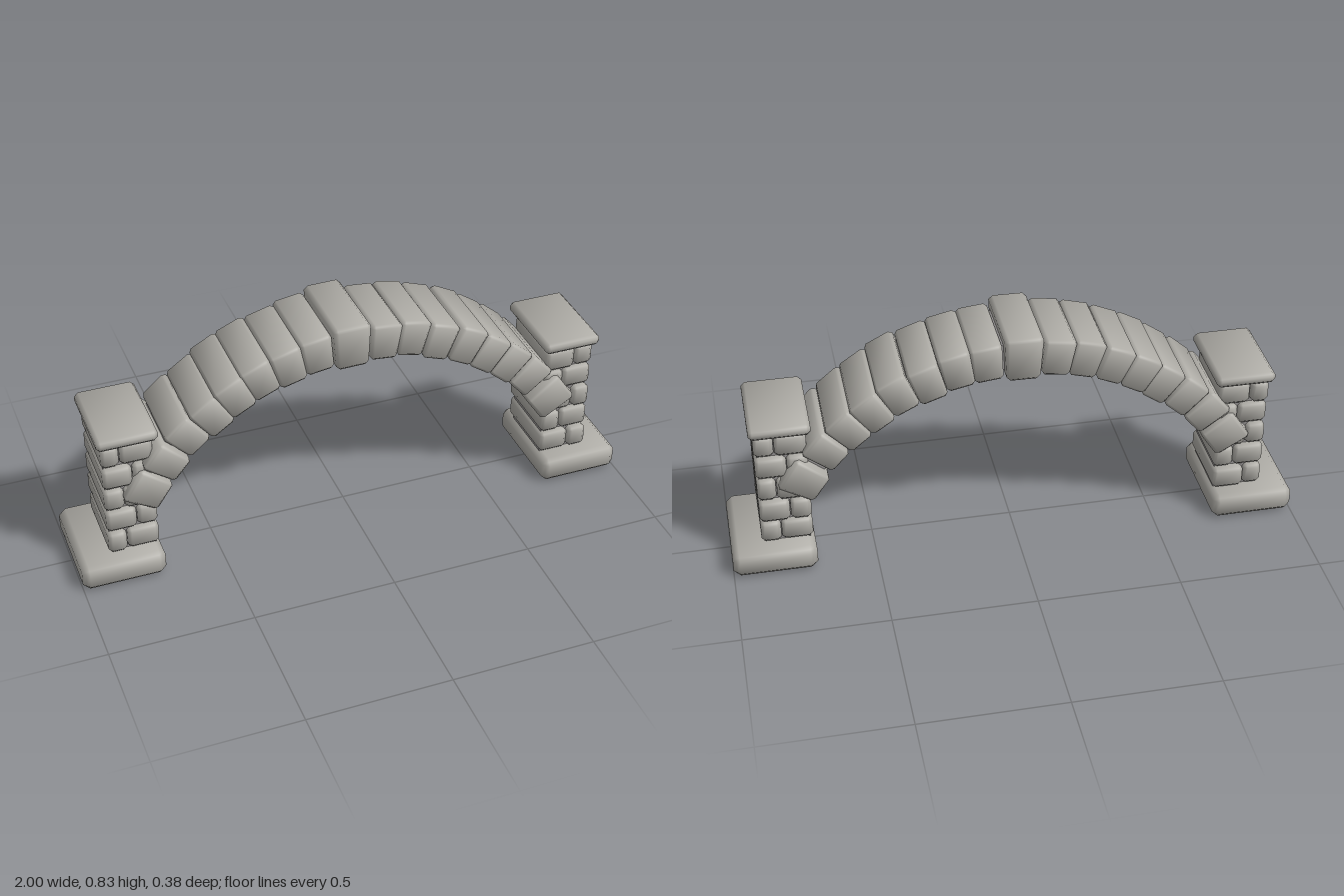
import * as THREE from 'three';

const stone = new THREE.MeshStandardMaterial({ color: 0xaeaca6 });
stone.name = 'warm grey stone';
const mortar = new THREE.MeshStandardMaterial({ color: 0x959292 });
mortar.name = 'grey mortar';

// Small seeded generator: values in -amount..amount
let seed = 7;
const jitter = (amount) => {
  seed = (seed * 16807) % 2147483647;
  return (seed / 2147483647 * 2 - 1) * amount;
};

// Chamfered block with soft normals; taper widens the top in x
function blockGeometry(w, h, d, bevel, taper = 0) {
  const geo = new THREE.BoxGeometry(2, 2, 2, 3, 3, 3);
  const pos = geo.attributes.position, nor = geo.attributes.normal;
  const half = [w / 2, h / 2, d / 2];
  for (let i = 0; i < pos.count; i++) {
    const u = [pos.getX(i), pos.getY(i), pos.getZ(i)];
    const outer = u.map((v) => Math.abs(v) > 0.9);
    const count = outer.filter(Boolean).length;
    const inset = bevel * [0, 0.5, 0.667][count - 1];
    const p = u.map((v, k) => Math.sign(v) * (half[k] - (outer[k] ? inset : bevel)));
    const n = new THREE.Vector3(...u.map((v, k) => Math.sign(v) * (outer[k] ? 1 : 0.38))).normalize();
    pos.setXYZ(i, p[0] * (1 + taper * p[1] / h), p[1], p[2]);
    nor.setXYZ(i, n.x, n.y, n.z);
  }
  return geo;
}

function addBlock(parent, name, size, at, bevel, taper) {
  const mesh = new THREE.Mesh(blockGeometry(...size, bevel, taper), stone);
  mesh.name = name;
  mesh.position.set(...at);
  parent.add(mesh);
  return mesh;
}

// One pillar; side is +1 (left, +x) or -1 (right, -x)
function createPillar(side) {
  const pillar = new THREE.Group();
  pillar.name = side > 0 ? 'leftPillar' : 'rightPillar';
  addBlock(pillar, 'footing', [0.292, 0.097, 0.38], [side * 0.854, 0.0505, 0], 0.024);
  addBlock(pillar, 'cap', [0.208, 0.043, 0.32], [side * 0.803, 0.567, 0], 0.014);

  const core = new THREE.Mesh(new THREE.BoxGeometry(0.16, 0.46, 0.222), mortar);
  core.name = 'mortarCore';
  core.position.set(side * 0.804, 0.325, 0);
  pillar.add(core);

  // Five courses of two stones, with the joint alternating
  const inner = 0.715, outer = 0.893, gap = 0.003;
  for (let row = 0; row < 5; row++) {
    const split = (row % 2 ? 0.786 : 0.826) + jitter(0.004);
    const y = 0.146 + row * 0.0885;
    for (const [a, b] of [[inner, split - gap / 2], [split + gap / 2, outer]]) {
      addBlock(pillar, 'pillarStone',
        [b - a + jitter(0.002), 0.083 + jitter(0.002), 0.274 + jitter(0.006)],
        [side * (a + b) / 2, y, jitter(0.004)], 0.014);
    }
  }
  return pillar;
}

function createArch() {
  const arch = new THREE.Group();
  arch.name = 'arch';
  const radius = 0.885, centreY = -0.14;

  // Wedge stones, angles in degrees clockwise from the crown
  const angles = [-57, -49.3, -42.2, -35.3, -28.8, -22.3, -15.7, -9,
    6.5, 13.2, 20, 26.9, 33.7, 40.4, 47.4, 56];
  angles.forEach((deg, i) => {
    const end = i === 0 || i === angles.length - 1;
    const a = THREE.MathUtils.degToRad(deg);
    const r = radius + jitter(0.004);
    const voussoir = addBlock(arch, 'archStone',
      [end ? 0.122 : 0.104, (end ? 0.138 : 0.134) + jitter(0.003), (end ? 0.308 : 0.298) + jitter(0.006)],
      [r * Math.sin(a), centreY + r * Math.cos(a), jitter(0.004)], 0.012, 0.16);
    voussoir.rotation.z = -a + jitter(0.02);
  });
  const keystone = addBlock(arch, 'keystone', [0.124, 0.162, 0.318], [-0.021, 0.75, 0], 0.014, 0.16);
  keystone.rotation.z = 0.015;

  // Mortar band hidden between the stones
  const span = THREE.MathUtils.degToRad(54);
  const band = new THREE.Shape();
  band.absarc(0, 0, radius + 0.048, Math.PI / 2 - span, Math.PI / 2 + span, false);
  band.absarc(0, 0, radius - 0.048, Math.PI / 2 + span, Math.PI / 2 - span, true);
  const core = new THREE.Mesh(
    new THREE.ExtrudeGeometry(band, { depth: 0.23, bevelEnabled: false, curveSegments: 32 }), mortar);
  core.name = 'archMortar';
  core.position.set(0, centreY, -0.115);
  arch.add(core);
  return arch;
}

export function createModel() {
  seed = 7;
  const model = new THREE.Group();
  model.name = 'stoneArch';
  model.add(createPillar(1), createPillar(-1), createArch());
  return model;
}
